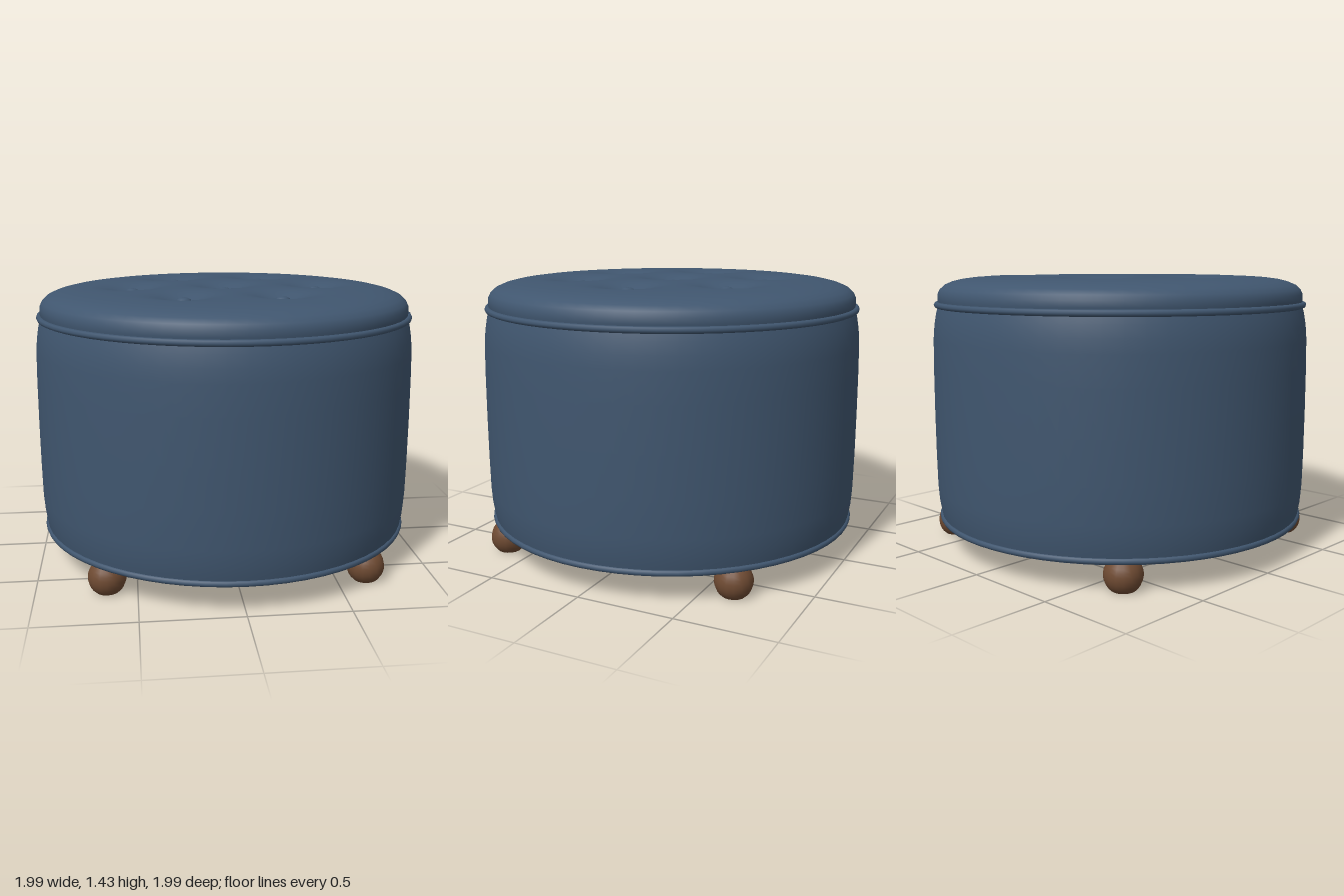
import * as THREE from 'three';
import { mergeVertices } from 'three/addons/utils/BufferGeometryUtils.js';

const SEGMENTS = 64;
const fabric = new THREE.MeshStandardMaterial({ color: 0x40566f });
const wood = new THREE.MeshStandardMaterial({ color: 0x6e4a32 });

function addMesh(parent, name, geometry, material, x = 0, y = 0, z = 0) {
  const mesh = new THREE.Mesh(geometry, material);
  mesh.name = name;
  mesh.position.set(x, y, z);
  parent.add(mesh);
  return mesh;
}

function lathe(points) {
  return new THREE.LatheGeometry(points.map(([r, y]) => new THREE.Vector2(r, y)), SEGMENTS);
}

// One centre button and a ring of six
const buttonSpots = [[0, 0]];
for (let i = 0; i < 6; i++) {
  const a = (i * Math.PI) / 3;
  buttonSpots.push([0.485 * Math.cos(a), 0.485 * Math.sin(a)]);
}

// Domed cushion with a soft dimple pressed in at each button
function cushionGeometry() {
  const profile = [
    [0.962, 1.27], [0.968, 1.3], [0.967, 1.33], [0.955, 1.355], [0.93, 1.378],
    [0.89, 1.395], [0.84, 1.407], [0.78, 1.415], [0.7, 1.421],
  ];
  for (let r = 0.67; r > 0.01; r -= 0.03) profile.push([r, 1.43 - 0.018 * r * r]);
  profile.push([0, 1.43]);
  let geometry = lathe(profile);
  geometry.deleteAttribute('uv');
  geometry.deleteAttribute('normal');
  geometry = mergeVertices(geometry, 1e-4);
  const p = geometry.attributes.position;
  for (let i = 0; i < p.count; i++) {
    let dip = 0;
    for (const [bx, bz] of buttonSpots) {
      const d = Math.hypot(p.getX(i) - bx, p.getZ(i) - bz);
      dip += 0.045 * Math.exp(-((d / 0.12) ** 2));
    }
    p.setY(i, p.getY(i) - dip);
  }
  geometry.computeVertexNormals();
  return geometry;
}

export function createModel() {
  const ottoman = new THREE.Group();
  ottoman.name = 'ottoman';

  // Slightly bulging drum and its underside
  addMesh(ottoman, 'body', lathe([
    [0.968, 0.135], [0.977, 0.18], [0.987, 0.24], [0.993, 0.32], [0.996, 0.5], [0.997, 0.72],
    [0.996, 0.95], [0.993, 1.1], [0.987, 1.17], [0.977, 1.23], [0.965, 1.275],
  ]), fabric);
  const base = new THREE.CircleGeometry(0.968, SEGMENTS).rotateX(Math.PI / 2);
  addMesh(ottoman, 'underside', base, fabric, 0, 0.135, 0);

  addMesh(ottoman, 'cushion', cushionGeometry(), fabric);

  // Piping around the lower and upper edges
  for (const [name, y] of [['lowerPiping', 0.153], ['upperPiping', 1.276]]) {
    const ring = new THREE.TorusGeometry(0.971, 0.016, 8, SEGMENTS).rotateX(Math.PI / 2);
    addMesh(ottoman, name, ring, fabric, 0, y, 0);
  }

  // Flattened tuft buttons
  const button = new THREE.SphereGeometry(0.038, 16, 10).scale(1, 0.55, 1);
  for (const [x, z] of buttonSpots) addMesh(ottoman, 'button', button, fabric, x, 1.39, z);

  // Ball feet with a flat sole
  const radius = 0.095, centre = 0.075;
  const ball = new THREE.SphereGeometry(radius, 16, 12, 0, Math.PI * 2, 0, Math.acos(-centre / radius));
  const sole = new THREE.CircleGeometry(Math.sqrt(radius ** 2 - centre ** 2), 16).rotateX(Math.PI / 2);
  for (const sx of [-1, 1]) {
    for (const sz of [-1, 1]) {
      const foot = new THREE.Group();
      foot.name = (sz > 0 ? 'front' : 'back') + (sx > 0 ? 'Left' : 'Right') + 'Foot';
      foot.position.set(0.648 * sx, 0, 0.648 * sz);
      addMesh(foot, 'ball', ball, wood, 0, centre, 0);
      addMesh(foot, 'sole', sole, wood);
      ottoman.add(foot);
    }
  }
  return ottoman;
}
